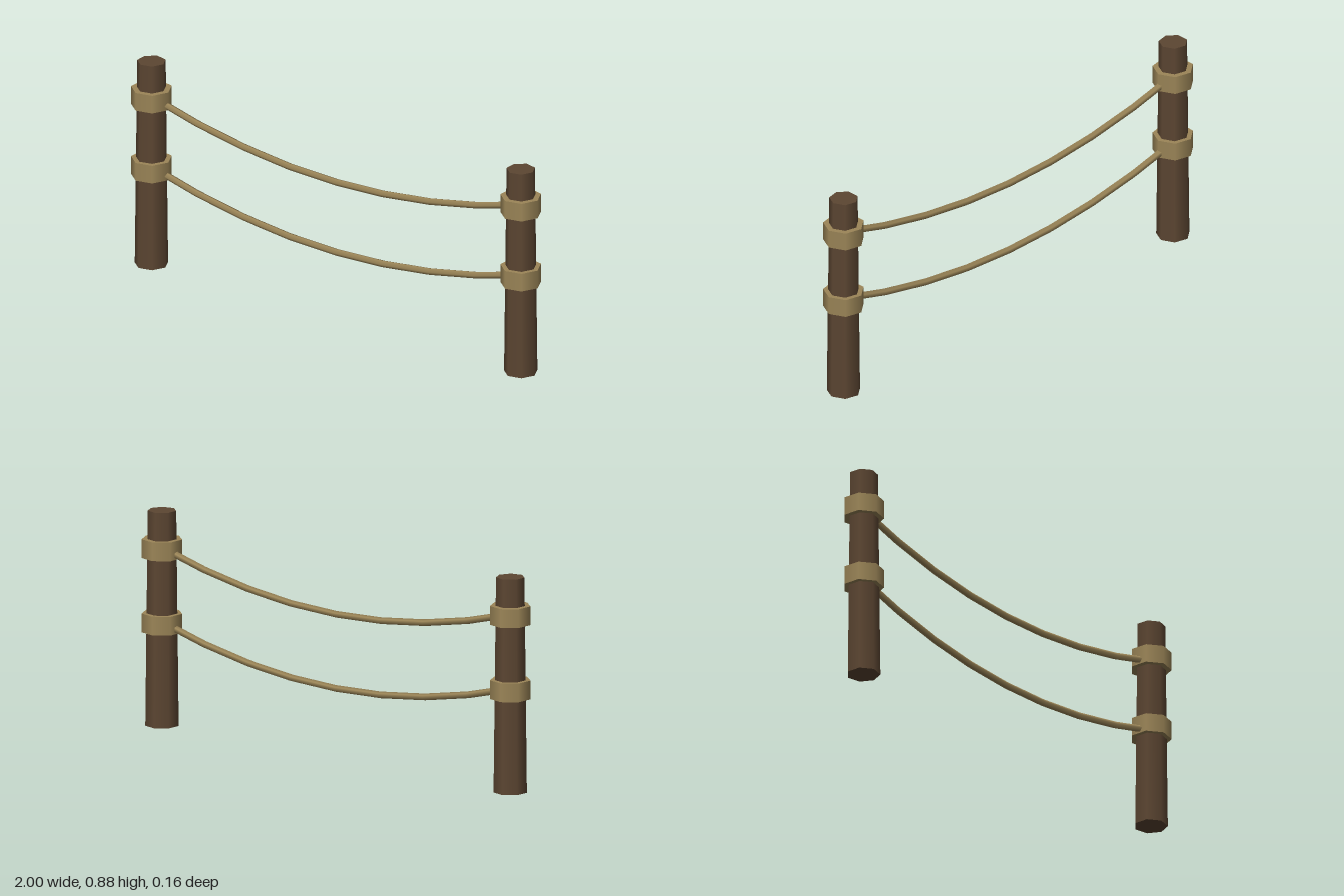
import * as THREE from 'three';

export function createModel() {
  const model = new THREE.Group();
  const wood = new THREE.MeshStandardMaterial({ color: 0x5c4632 });
  const rope = new THREE.MeshStandardMaterial({ color: 0x9c8658 });

  const leftX = 0.9165, rightX = -0.925; // post centres
  const levels = [0.423, 0.728];         // heights of the rope bindings
  const sag = 0.137;

  const add = (name, geometry, material, x = 0, y = 0) => {
    const mesh = new THREE.Mesh(geometry, material);
    mesh.name = name;
    mesh.position.set(x, y, 0);
    model.add(mesh);
  };

  // Seven-sided cylinder with one corner pointing to +x
  const heptagon = (top, bottom, height) =>
    new THREE.CylinderGeometry(top, bottom, height, 7, 1, false, Math.PI / 2);

  // Tapered posts, each with two rope bindings
  for (const [side, x] of [['left', leftX], ['right', rightX]]) {
    add(side + 'Post', heptagon(0.0585, 0.0685, 0.883), wood, x, 0.4415);
    levels.forEach((y, i) =>
      add(side + (i ? 'Upper' : 'Lower') + 'Binding', heptagon(0.0835, 0.0835, 0.077), rope, x, y));
  }

  // Sagging ropes between the bindings
  levels.forEach((y, i) => {
    const curve = new THREE.QuadraticBezierCurve3(
      new THREE.Vector3(rightX, y, 0),
      new THREE.Vector3((leftX + rightX) / 2, y - 2 * sag, 0),
      new THREE.Vector3(leftX, y, 0));
    add(i ? 'upperRope' : 'lowerRope', new THREE.TubeGeometry(curve, 8, 0.0145, 5), rope);
  });

  return model;
}
